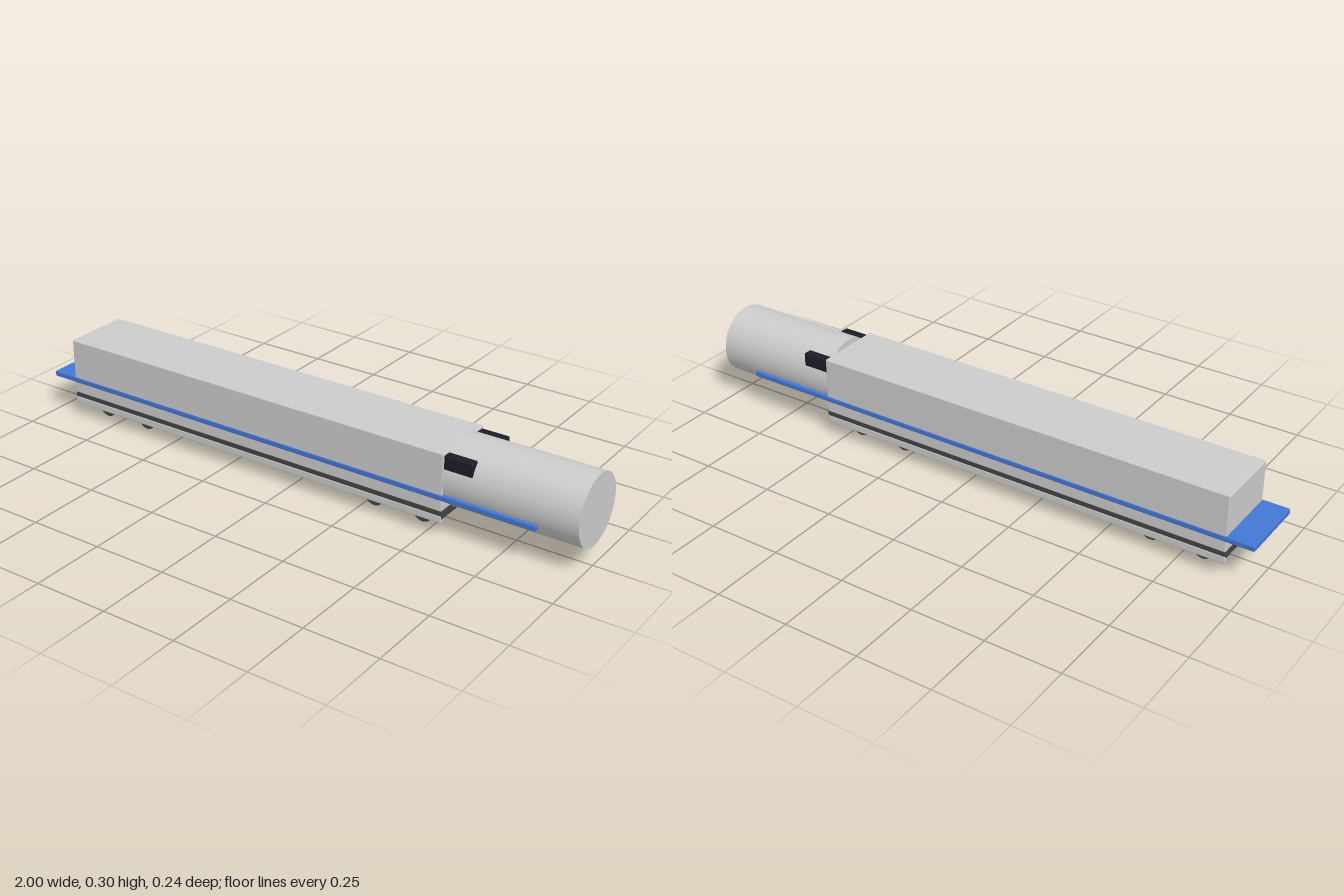
import * as THREE from 'three';
import { RoundedBoxGeometry } from 'three/addons/geometries/RoundedBoxGeometry.js';

const paint = (color) => new THREE.MeshStandardMaterial({ color });
const grey = paint(0xcccccc);
const dark = paint(0x444444);
const black = paint(0x1c1c26);
const blue = paint(0x4477d4);

export function createModel() {
  const model = new THREE.Group();

  function add(name, geometry, material) {
    const mesh = new THREE.Mesh(geometry, material);
    mesh.name = name;
    model.add(mesh);
    return mesh;
  }

  // Softened box given by its limits on each axis
  function block(name, [x0, x1], [y0, y1], [z0, z1], material, radius = 0.004) {
    const geometry = new RoundedBoxGeometry(x1 - x0, y1 - y0, z1 - z0, 2, radius);
    geometry.translate((x0 + x1) / 2, (y0 + y1) / 2, (z0 + z1) / 2);
    return add(name, geometry, material);
  }

  // Long body, with the dark chassis beneath it
  block('body', [-0.91, 0.555], [0.086, 0.28], [-0.118, 0.118], grey);
  block('chassis', [-0.91, 0.557], [0.06, 0.09], [-0.117, 0.117], dark);

  // Round nose drum lying along x
  const drum = new THREE.CylinderGeometry(0.117, 0.117, 0.447, 64);
  drum.rotateZ(-Math.PI / 2);
  drum.translate(0.7765, 0.185, 0);
  add('noseDrum', drum, grey);

  // Rear shelf joining the two side rails
  block('rearShelf', [-1, -0.9], [0.124, 0.143], [-0.119, 0.119], blue);

  for (const side of [-1, 1]) {
    const span = (a, b) => (side > 0 ? [a, b] : [-b, -a]);
    block('sideRail', [-1, 0.868], [0.124, 0.143], span(0.1, 0.12), blue);
    block('skirt', [-0.91, 0.555], [0.046, 0.072], span(0.104, 0.1185), grey);
    block('noseBracket', [0.55, 0.65], [0.227, 0.273], span(0.081, 0.112), black);
  }

  // Two bogies, each with four wheels
  for (const centre of [-0.727, 0.372]) {
    block('bogie', [centre - 0.127, centre + 0.127], [0.035, 0.063], [-0.087, 0.087], dark);
    for (const dx of [-0.088, 0.088]) {
      for (const z of [-0.055, 0.055]) {
        const wheel = new THREE.CylinderGeometry(0.034, 0.034, 0.021, 28);
        wheel.rotateX(Math.PI / 2);
        wheel.translate(centre + dx, 0.034, z);
        add('wheel', wheel, dark);
      }
    }
  }

  return model;
}
